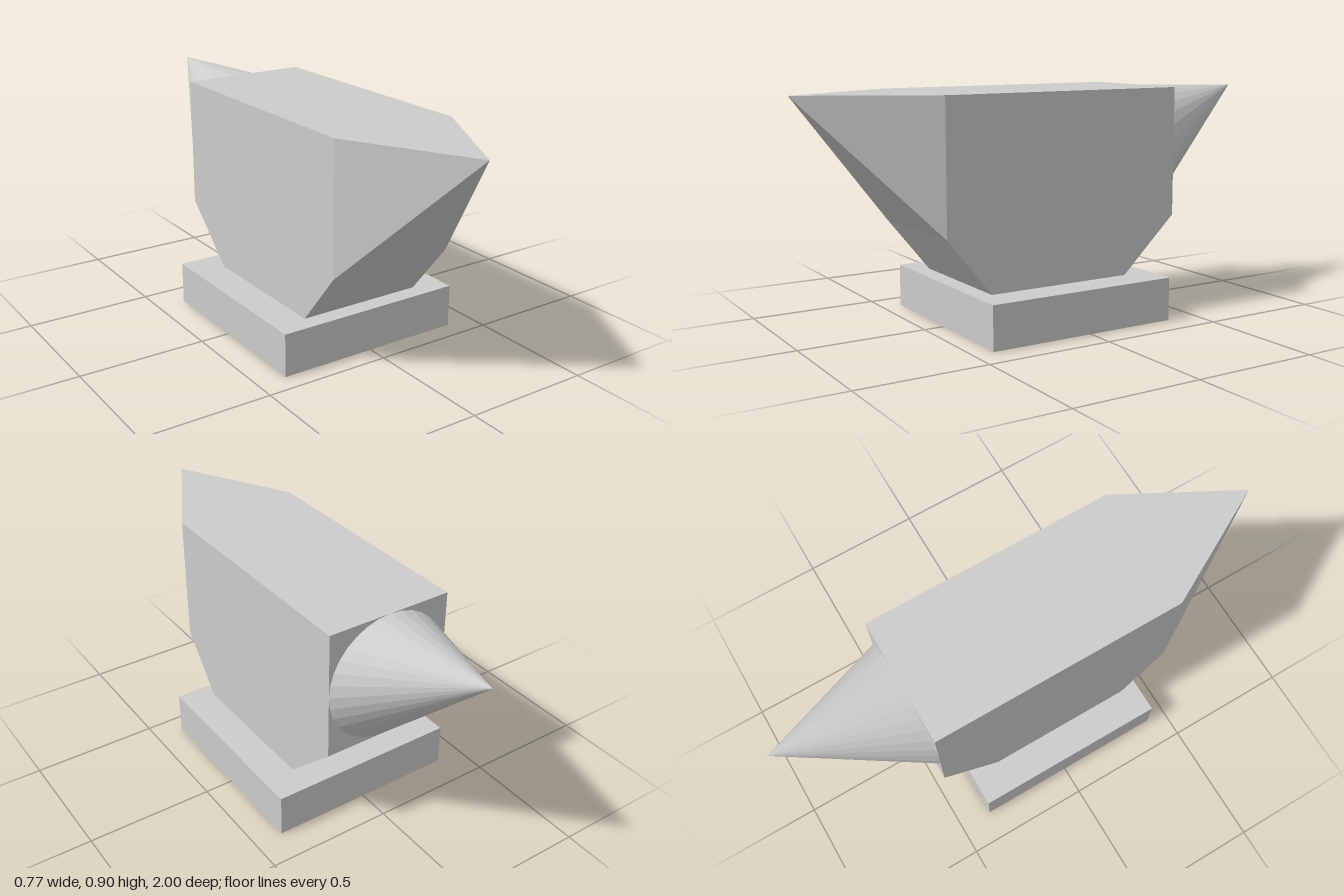
import * as THREE from 'three';

const W = 0.255; // half width of the body

// Flat-faced geometry from a list of convex polygons (counter-clockwise)
function fromPolygons(polygons) {
  const pos = [];
  for (const p of polygons) {
    for (let i = 1; i < p.length - 1; i++) pos.push(...p[0], ...p[i], ...p[i + 1]);
  }
  const geo = new THREE.BufferGeometry();
  geo.setAttribute('position', new THREE.Float32BufferAttribute(pos, 3));
  geo.computeVertexNormals();
  return geo;
}

// Keel-shaped body: a side profile [z, y] mirrored across x, with a pointed bow
function bodyGeometry() {
  const profile = [[0.53, 0.9], [0.53, 0.39], [0.35, 0.17], [-0.25, 0.17], [-0.485, 0.39], [-0.485, 0.9]];
  const left = profile.map(([z, y]) => [W, y, z]);
  const right = profile.map(([z, y]) => [-W, y, z]);
  const tip = [0, 0.9, 1];
  const polygons = [left, [...right].reverse()];
  // Underside and back
  for (let i = 1; i < 5; i++) polygons.push([left[i + 1], left[i], right[i], right[i + 1]]);
  // Deck, bow cheeks and bow underside
  polygons.push(
    [left[5], right[5], right[0], tip, left[0]],
    [left[0], tip, left[1]],
    [right[0], right[1], tip],
    [tip, right[1], left[1]],
  );
  return fromPolygons(polygons);
}

// Cone pointing backwards, sheared so its tip rises towards deck height
function tailGeometry() {
  const length = 0.515, rise = 0.241;
  const geo = new THREE.ConeGeometry(W, length, 32, 1);
  geo.rotateX(-Math.PI / 2);
  geo.translate(0, 0, -length / 2);
  const shear = new THREE.Matrix4().set(
    1, 0, 0, 0,
    0, 1, -rise / length, 0,
    0, 0, 1, 0,
    0, 0, 0, 1,
  );
  geo.applyMatrix4(shear);
  return geo.translate(0, 0.645, -0.485);
}

export function createModel() {
  const group = new THREE.Group();
  const material = new THREE.MeshStandardMaterial({ color: 0xcccccc, flatShading: true });
  const add = (name, geometry) => {
    const mesh = new THREE.Mesh(geometry, material);
    mesh.name = name;
    group.add(mesh);
  };

  add('base', new THREE.BoxGeometry(0.77, 0.17, 0.79).translate(0, 0.085, 0.025));
  add('body', bodyGeometry());
  add('tailCone', tailGeometry());
  return group;
}
